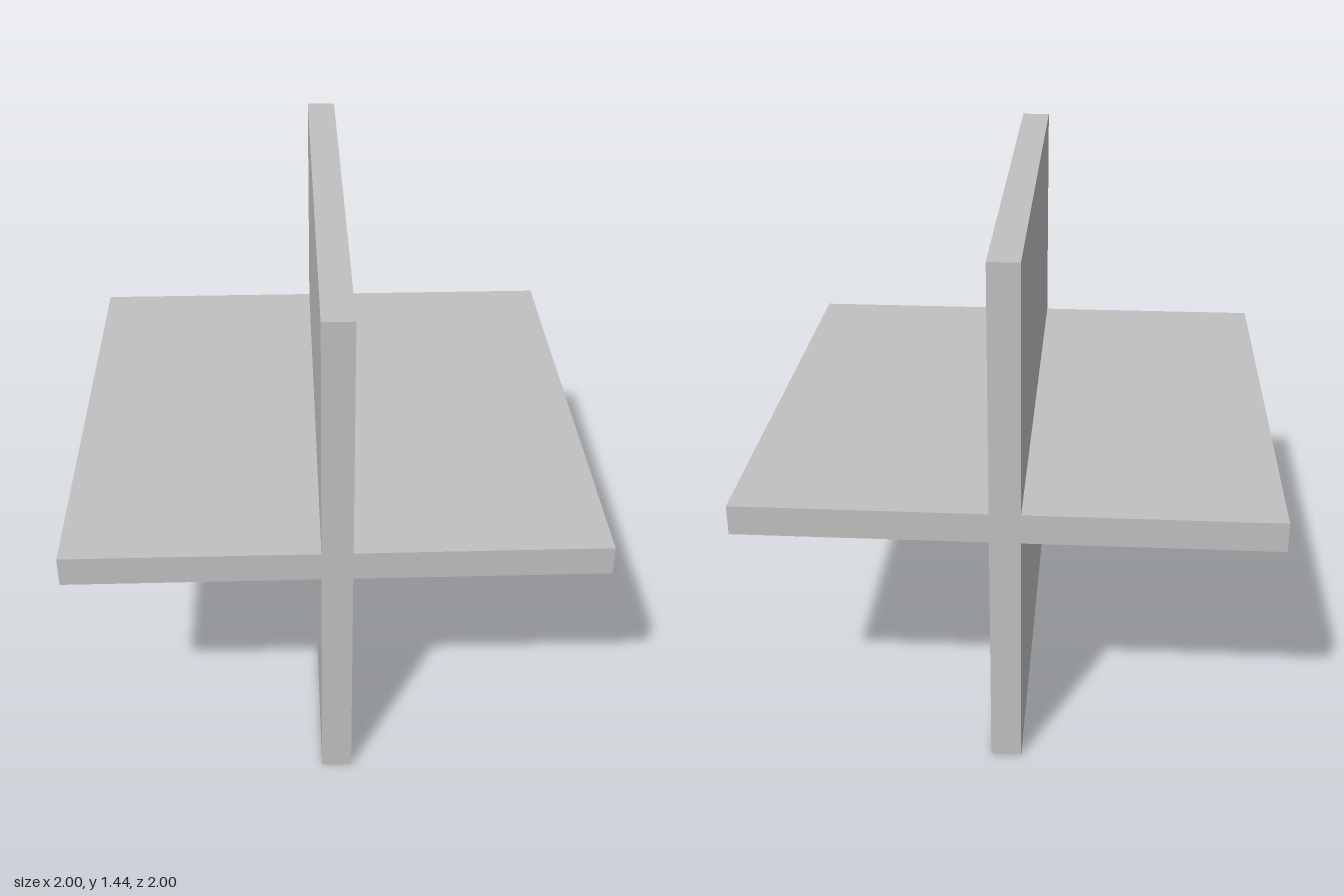
import * as THREE from 'three';

const SPAN = 1.442;      // side of both square plates
const THICK = 0.083;     // plate thickness
const YAW = 0.983;       // turn about the vertical axis

export function createModel() {
  const grey = new THREE.MeshStandardMaterial({ color: 0xc0c0c0 });
  grey.name = 'light grey';

  // plus-shaped section: an upright plate crossing a level plate
  const a = SPAN / 2, t = THICK / 2;
  const section = new THREE.Shape([
    [t, -a], [t, -t], [a, -t], [a, t], [t, t], [t, a],
    [-t, a], [-t, t], [-a, t], [-a, -t], [-t, -t], [-t, -a],
  ].map(([x, y]) => new THREE.Vector2(x, y)));

  const geometry = new THREE.ExtrudeGeometry(section, { depth: SPAN, bevelEnabled: false });
  geometry.translate(0, a, -a);

  const crossedPlates = new THREE.Mesh(geometry, grey);
  crossedPlates.name = 'crossedPlates';
  crossedPlates.rotation.y = YAW;

  const model = new THREE.Group();
  model.name = 'crossedPlatesModel';
  model.add(crossedPlates);
  return model;
}
